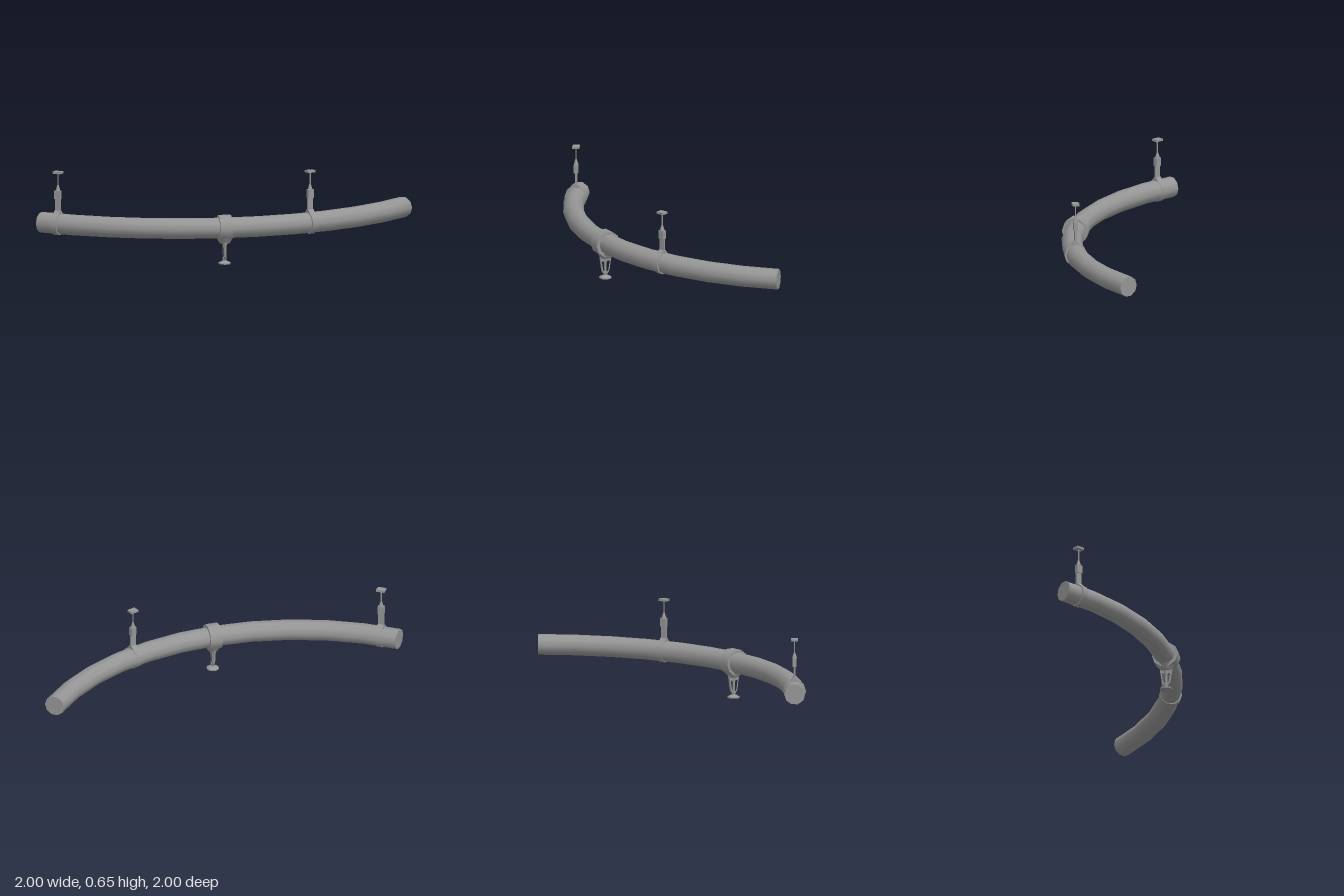
import * as THREE from 'three';

const R = 1.92;        // bend radius, centred on (-1, -1)
const Y = 0.265;       // pipe axis height
const PIPE = 0.076;
const SIDES = 10;
const mat = new THREE.MeshStandardMaterial({ color: 0x969696 });
const flat = new THREE.MeshStandardMaterial({ color: 0x969696, flatShading: true });

class Bend extends THREE.Curve {
  getPoint(t, target = new THREE.Vector3()) {
    const a = t * Math.PI / 2;
    return target.set(-1 + R * Math.sin(a), Y, -1 + R * Math.cos(a));
  }
  getTangent(t, target = new THREE.Vector3()) {
    const a = t * Math.PI / 2;
    return target.set(Math.cos(a), 0, -Math.sin(a));
  }
}

function add(parent, name, geometry, x = 0, y = 0, z = 0, material = flat) {
  const mesh = new THREE.Mesh(geometry, material);
  mesh.name = name;
  mesh.position.set(x, y, z);
  parent.add(mesh);
  return mesh;
}

// Group on the pipe axis: local x runs along the pipe, local z points outward
function station(name, degrees) {
  const g = new THREE.Group();
  const a = THREE.MathUtils.degToRad(degrees);
  g.name = name;
  g.position.set(-1 + R * Math.sin(a), Y, -1 + R * Math.cos(a));
  g.rotation.y = a;
  return g;
}

// Band around the pipe
function band(radius, width) {
  return new THREE.CylinderGeometry(radius, radius, width, SIDES).rotateZ(Math.PI / 2);
}

// Symmetric outline from [half width, height] pairs
function mirrored(pairs) {
  const right = pairs.map(([w, y]) => new THREE.Vector2(w, y));
  const left = pairs.map(([w, y]) => new THREE.Vector2(-w, y)).reverse();
  return [...right, ...left];
}

// Extrude a cross-section along the pipe direction
function alongPipe(shape, width) {
  return new THREE.ExtrudeGeometry(shape, { depth: width, bevelEnabled: false })
    .translate(0, 0, -width / 2).rotateY(Math.PI / 2);
}

function hanger(name, degrees) {
  const g = station(name, degrees);
  // Loop around the pipe with a tapered neck on top
  add(g, 'hangerLoop', band(0.083, 0.045), 0, 0, 0, mat);
  const neck = new THREE.Shape(mirrored([[0.036, 0.07], [0.012, 0.098]]));
  add(g, 'loopNeck', alongPipe(neck, 0.045));
  // Strap, swivel block, tapered nut, rod and ceiling plate
  add(g, 'strap', new THREE.BoxGeometry(0.045, 0.1, 0.012), 0, 0.141);
  add(g, 'swivelBlock', new THREE.BoxGeometry(0.045, 0.062, 0.03), 0, 0.214);
  add(g, 'taperedNut', new THREE.CylinderGeometry(0.006, 0.018, 0.04, 8), 0, 0.265);
  add(g, 'rod', new THREE.CylinderGeometry(0.005, 0.005, 0.1, 8), 0, 0.328, 0, mat);
  add(g, 'ceilingPlate', new THREE.BoxGeometry(0.063, 0.016, 0.05), 0, 0.379);
  return g;
}

function sprinkler(degrees) {
  const g = station('sprinkler', degrees);
  // Coupling and tapered outlet
  add(g, 'coupling', band(0.097, 0.092), 0, 0, 0, mat);
  add(g, 'outlet', new THREE.CylinderGeometry(0.064, 0.038, 0.045, SIDES), 0, -0.09, 0, mat);
  add(g, 'valveCap', new THREE.CylinderGeometry(0.018, 0.014, 0.03, 8), 0, -0.13, 0, mat);
  // Open frame whose two arms close in on the boss
  const frame = new THREE.Shape(mirrored([[0.046, -0.105], [0.03, -0.21], [0.012, -0.235]]));
  frame.holes.push(new THREE.Path(mirrored([[0.033, -0.135], [0.021, -0.203], [0.012, -0.215]])));
  add(g, 'frameArms', alongPipe(frame, 0.016));
  add(g, 'glassBulb', new THREE.CylinderGeometry(0.009, 0.009, 0.085, 8), 0, -0.178, 0, mat);
  add(g, 'boss', new THREE.CylinderGeometry(0.016, 0.014, 0.025, 8), 0, -0.23, 0, mat);
  // Deflector
  add(g, 'deflectorCone', new THREE.CylinderGeometry(0.014, 0.045, 0.015, 12), 0, -0.2485, 0, mat);
  add(g, 'deflectorRim', new THREE.CylinderGeometry(0.045, 0.045, 0.009, 12), 0, -0.2605, 0, mat);
  return g;
}

export function createModel() {
  const model = new THREE.Group();
  model.name = 'sprinklerPipe';

  // Curved pipe with closed ends
  add(model, 'pipe', new THREE.TubeGeometry(new Bend(), 11, PIPE, SIDES), 0, 0, 0, mat);
  const cap = new THREE.CircleGeometry(PIPE, SIDES);
  add(model, 'pipeEnd', cap, -1, Y, -1 + R).rotation.y = -Math.PI / 2;
  add(model, 'pipeEnd', cap, -1 + R, Y, -1).rotation.y = Math.PI;

  model.add(hanger('rightHanger', 4.15));
  model.add(hanger('leftHanger', 61.3));
  model.add(sprinkler(41.4));
  return model;
}
